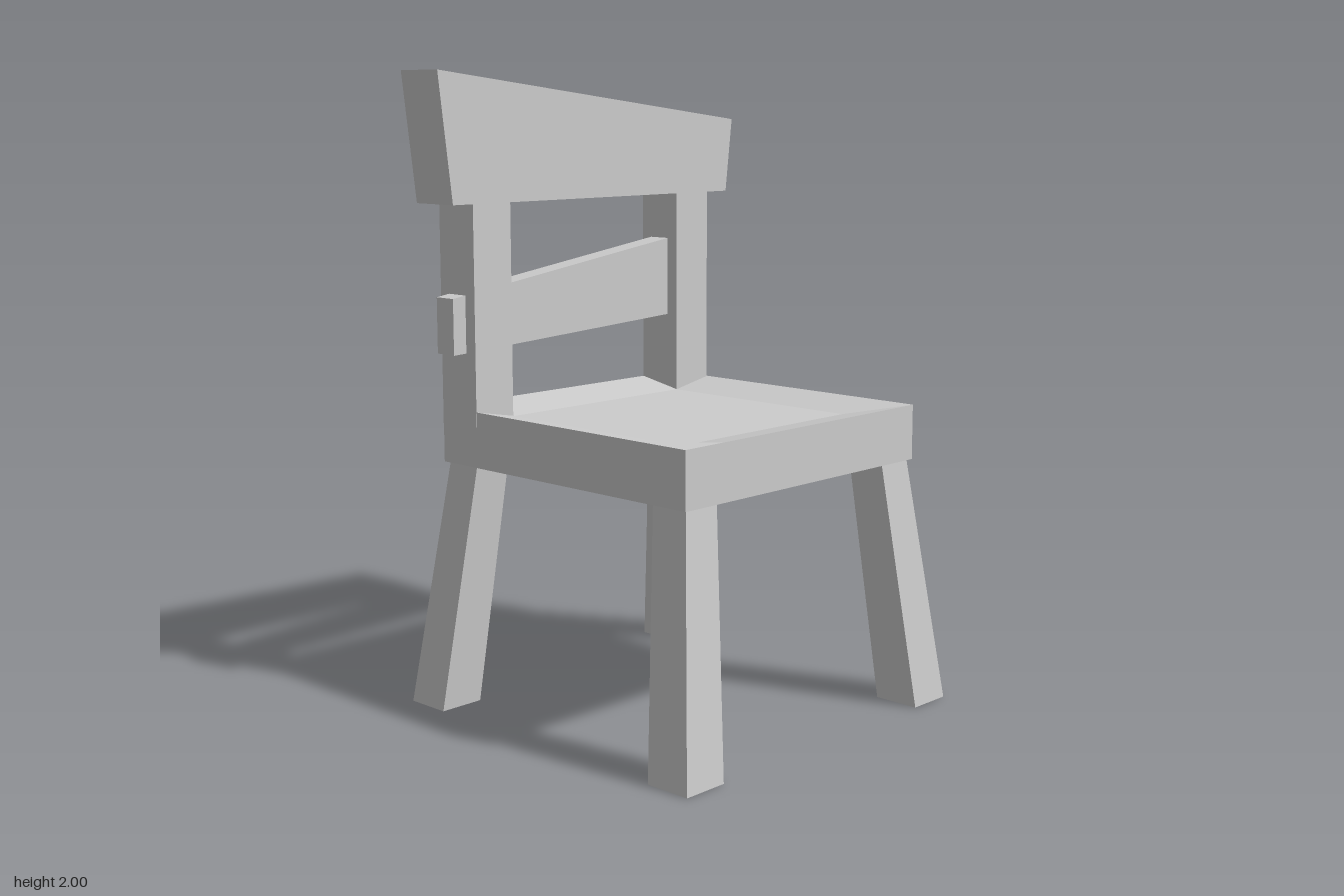
import * as THREE from 'three';

const material = new THREE.MeshStandardMaterial({ color: 0xcccccc, flatShading: true });

// Box whose corners are placed by a rule: (sx, sy, sz), each -1 or 1, gives [x, y, z].
function block(name, corner) {
  const geometry = new THREE.BoxGeometry(2, 2, 2);
  const p = geometry.attributes.position;
  for (let i = 0; i < p.count; i++) p.setXYZ(i, ...corner(p.getX(i), p.getY(i), p.getZ(i)));
  geometry.computeVertexNormals();
  const mesh = new THREE.Mesh(geometry, material);
  mesh.name = name;
  return mesh;
}

// Seat block with a shallow hollow inside a raised rim.
function createSeat() {
  const bottom = 0.785, top = 0.96, hollow = 0.03;
  const xs = [-0.525, -0.365, 0.36, 0.52];
  const zs = [-0.53, -0.375, 0.362, 0.517];
  const geometry = new THREE.BoxGeometry(3, 1, 3, 3, 1, 3);
  const p = geometry.attributes.position;
  const inner = (i) => i === 1 || i === 2;
  for (let i = 0; i < p.count; i++) {
    const ix = Math.round(p.getX(i) + 1.5), iz = Math.round(p.getZ(i) + 1.5);
    const y = p.getY(i) < 0 ? bottom : top - (inner(ix) && inner(iz) ? hollow : 0);
    p.setXYZ(i, xs[ix], y, zs[iz]);
  }
  geometry.computeVertexNormals();
  const mesh = new THREE.Mesh(geometry, material);
  mesh.name = 'seat';
  return mesh;
}

export function createModel() {
  const chair = new THREE.Group();
  chair.name = 'chair';
  chair.add(createSeat());

  for (const side of [-1, 1]) {
    for (const end of [-1, 1]) {
      // Splayed leg, wider at the foot
      chair.add(block('leg', (sx, sy, sz) => {
        const centre = sy < 0 ? 0.53 : 0.446;
        const half = sy < 0 ? 0.076 : 0.064;
        return [side * centre + sx * half, sy < 0 ? 0 : 0.785, end * centre + sz * half - 0.005];
      }));
    }
    // Upright rising from a seat corner
    chair.add(block('backPost', (sx, sy, sz) => [
      -0.445 + sx * 0.08, sy < 0 ? 0.9 : 1.6, side * 0.447 + sz * 0.075 - 0.004,
    ]));
  }

  // Slanted head rail across the posts
  chair.add(block('topRail', (sx, sy, sz) => {
    const x = -0.445 + sx * 0.086;
    if (sy < 0) return [x, 1.6, sz < 0 ? -0.615 : 0.6];
    return sz < 0 ? [x, 1.845, -0.645] : [x, 2, 0.65];
  }));

  // Tapered slat running through both posts
  chair.add(block('backSlat', (sx, sy, sz) => {
    const x = -0.447 + sx * 0.039;
    if (sz > 0) return [x, sy < 0 ? 1.137 : 1.312, 0.567];
    return [x, sy < 0 ? 1.197 : 1.475, -0.573];
  }));

  return chair;
}
